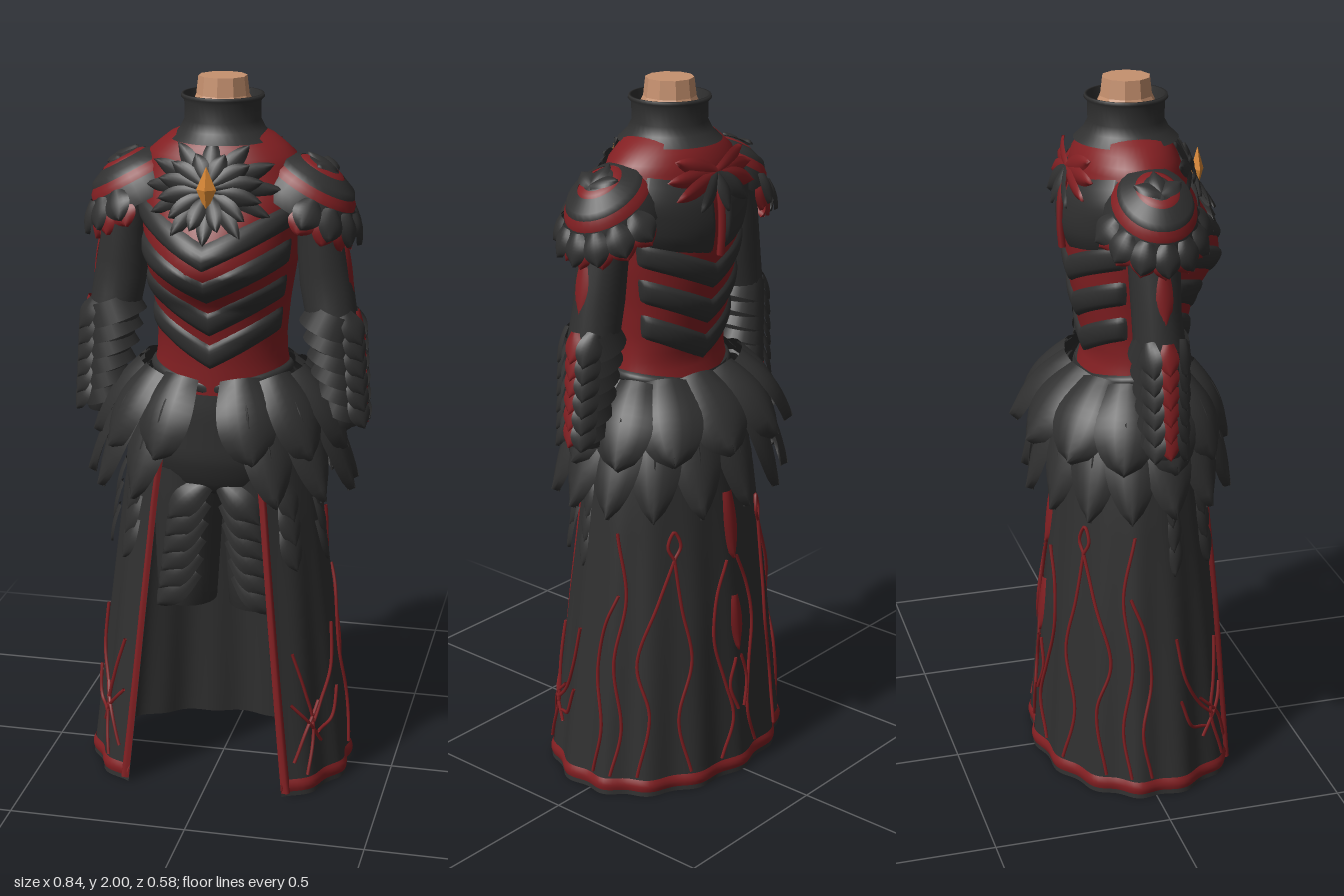
import * as THREE from 'three';
import { mergeVertices } from 'three/addons/utils/BufferGeometryUtils.js';

const V = (x, y, z) => new THREE.Vector3(x, y, z);
const D = Math.PI / 180;

export function createModel() {
  const root = new THREE.Group();
  const mat = (name, color) => {
    const m = new THREE.MeshStandardMaterial({ color, side: THREE.DoubleSide });
    m.name = name;
    return m;
  };
  const black = mat('black leather', 0x303030);
  const red = mat('dark red cloth', 0x821f22);
  const skin = mat('skin', 0xc6916f);
  skin.flatShading = true;
  const amber = mat('amber gem', 0xd48432);
  amber.flatShading = true;

  const add = (name, geo, m, parent = root) => {
    const mesh = new THREE.Mesh(geo, m);
    mesh.name = name;
    parent.add(mesh);
    return mesh;
  };

  // smooth sheet from a rule f(u, v) -> Vector3
  const sheet = (f, nu, nv) => {
    const pos = [], idx = [];
    for (let j = 0; j <= nv; j++) for (let i = 0; i <= nu; i++) pos.push(...f(i / nu, j / nv).toArray());
    for (let j = 0; j < nv; j++) for (let i = 0; i < nu; i++) {
      const a = j * (nu + 1) + i, b = a + nu + 1;
      idx.push(a, a + 1, b, a + 1, b + 1, b);
    }
    const g = new THREE.BufferGeometry();
    g.setAttribute('position', new THREE.Float32BufferAttribute(pos, 3));
    g.setIndex(idx);
    const merged = mergeVertices(g, 1e-5);
    merged.computeVertexNormals();
    return merged;
  };

  // body surfaces: rows of [y, half width, front z, back z], angle t = 0 at the front, 90 at +x
  const surface = (rows, ripple = () => 0) => (t, y, off = 0) => {
    let i = 0;
    while (i < rows.length - 2 && y < rows[i + 1][0]) i++;
    const [a, b] = [rows[i], rows[i + 1]];
    const k = THREE.MathUtils.clamp((a[0] - y) / (a[0] - b[0]), 0, 1);
    const [w, zf, zb] = [1, 2, 3].map(n => a[n] + (b[n] - a[n]) * k);
    const c = Math.cos(t), cz = 0.01, o = off + ripple(t, y);
    return V((w + o) * Math.sin(t), y, cz + (c > 0 ? zf - cz + o : cz - zb + o) * c);
  };
  const torso = surface([
    [1.87, 0.09, 0.09, -0.07], [1.845, 0.145, 0.12, -0.1], [1.8, 0.2, 0.145, -0.13], [1.7, 0.235, 0.18, -0.155],
    [1.62, 0.22, 0.235, -0.16], [1.56, 0.213, 0.265, -0.157], [1.51, 0.208, 0.272, -0.15], [1.46, 0.2, 0.245, -0.145],
    [1.4, 0.19, 0.2, -0.135], [1.3, 0.18, 0.178, -0.115], [1.24, 0.183, 0.172, -0.105], [1.15, 0.2, 0.17, -0.13]]);
  const pelvis = surface([
    [1.2, 0.19, 0.165, -0.125], [1.1, 0.225, 0.17, -0.15], [0.95, 0.235, 0.165, -0.16], [0.86, 0.19, 0.13, -0.13], [0.83, 0.1, 0.07, -0.07]]);
  const skirt = surface([[0.99, 0.255, 0.215, -0.175], [0.85, 0.28, 0.23, -0.19], [0.5, 0.32, 0.275, -0.225], [0, 0.375, 0.33, -0.26]],
    (t, y) => 0.008 * Math.cos(14 * t) * (1 - y));
  const opening = y => (37.5 - 8 * y) * D;

  const round = (s, y0, y1, n) => sheet((u, v) => s(u * 2 * Math.PI, y1 + (y0 - y1) * v), 48, n);
  add('bodice', round(torso, 1.15, 1.87, 30), red);
  add('pelvis', round(pelvis, 0.83, 1.2, 14), black);

  // pointed leaf plate from base to tip, facing out; a lower power gives a rounder leaf
  const leaf = (name, base, tip, width, out, m, bulge = 0.015, parent = root, power = 0.8) => {
    const dir = tip.clone().sub(base);
    const n = out.clone().addScaledVector(dir, -out.dot(dir) / dir.lengthSq()).normalize();
    const side = n.clone().cross(dir).normalize();
    return add(name, sheet((u, v) => {
      const q = v * 2 - 1;
      const half = width / 2 * Math.pow(Math.max(0, Math.sin(Math.PI * (0.16 + 0.84 * Math.pow(u, 1.25)))), power);
      return base.clone().addScaledVector(dir, u).addScaledVector(side, q * half)
        .addScaledVector(n, bulge * Math.sin(Math.PI * u) + width * 0.16 * (1 - q * q));
    }, 10, 6), m, parent);
  };
  const tube = (name, pts, r, m) =>
    add(name, new THREE.TubeGeometry(new THREE.CatmullRomCurve3(pts), pts.length * 3, r, 5), m);

  // padded bands that dip to a V on the chest and back
  const band = (name, s, t0, t1, lo, hi, rise, m, off = 0.014) =>
    add(name, sheet((u, v) => {
      const t = (t0 + (t1 - t0) * u) * D;
      const edge = Math.min(1, 5 * Math.sin(Math.PI * u) + 0.05);
      return s(t, lo + (hi - lo) * v + rise * Math.abs(Math.sin(t)), off * Math.pow(Math.sin(Math.PI * v), 0.5) * edge - 0.002);
    }, 40, 8), m);
  for (const lo of [1.52, 1.42, 1.32, 1.225]) band('chestBand', torso, -74, 74, lo, lo + 0.072, 0.1, black);
  for (const lo of [1.44, 1.335, 1.23]) band('backBand', torso, 108, 252, lo, lo + 0.075, 0.09, black);
  for (const s of [1, -1]) band('backPlate', torso, 180 - s * 4, 180 - s * 62, 1.54, 1.74, 0.04, black, 0.02);
  band('waistBand', torso, 0, 360, 1.15, 1.18, 0.04, black, 0.012);

  // neck and standing collar
  const lathe = (pts, n) => new THREE.LatheGeometry(pts.map(p => new THREE.Vector2(...p)), n);
  add('neck', lathe([[0.1, 1.89], [0.072, 1.95], [0.066, 2], [0, 2]], 10), skin).position.z = 0.012;
  add('collar', lathe([[0.142, 1.835], [0.116, 1.86], [0.103, 1.885], [0.104, 1.935], [0.113, 1.945], [0.111, 1.953], [0.104, 1.953], [0.094, 1.86]], 40), black)
    .position.z = 0.012;

  // chest flower with gem
  const onChest = (x, y, off) => {
    const t = Math.asin(THREE.MathUtils.clamp(x / torso(Math.PI / 2, y).x, -1, 1));
    return torso(t, y, off);
  };
  const flower = new THREE.Group();
  flower.name = 'chestFlower';
  root.add(flower);
  for (let ring = 0; ring < 2; ring++) for (let i = 0; i < 12; i++) {
    const a = (i + ring * 0.5) * 30 * D, r = ring ? 0.115 : 0.155;
    const tip = onChest(Math.sin(a) * r * 1.15, 1.72 + Math.cos(a) * r * 0.85, 0.012 + ring * 0.012);
    leaf('petal', V(Math.sin(a) * 0.02, 1.725 + Math.cos(a) * 0.02, 0.184 + ring * 0.008), tip, 0.05, V(0, 0, 1), black, 0.004, flower);
  }
  const gem = add('gem', new THREE.OctahedronGeometry(1), amber, flower);
  gem.scale.set(0.027, 0.062, 0.018);
  gem.position.set(0, 1.73, 0.214);

  // back fan of petals and spine
  for (let i = 0; i < 9; i++) {
    const a = (62 + i * 29.5) * D;
    const end = torso(Math.PI + Math.sin(a) * 0.75, 1.765 + 0.1 * Math.cos(a), 0.035);
    leaf('backPetal', V(0, 1.765, -0.15), end, 0.05, V(0, 0, -1), i < 3 || i > 5 ? red : black, 0.008);
  }
  tube('spine', [1.76, 1.68, 1.6, 1.54].map(y => torso(Math.PI, y, 0.012)), 0.011, red);

  // skirt, open at the front, with trims
  const skirtAt = (u, y, off) => {
    const o = opening(y);
    return skirt(o + u * (2 * Math.PI - 2 * o), y, off);
  };
  add('skirt', sheet((u, v) => skirtAt(u, v * 0.99, 0), 112, 14), black);
  add('hemTrim', sheet((u, v) => skirtAt(u, 0.014 + v * 0.036, 0.002 + 0.005 * Math.sin(Math.PI * v)), 112, 4), red);
  for (const s of [0, 1])
    add('frontTrim', sheet((u, v) => skirtAt(Math.abs(s - u * 0.016), 0.012 + v * 0.95, 0.001 + 0.012 * Math.sin(Math.PI * u)), 5, 24), red);

  // red vine lines on the skirt, [angle, height] pairs
  const vines = [
    [[46, 0.42], [52, 0.3], [56, 0.2], [50, 0.06]], [[44, 0.1], [52, 0.2], [62, 0.26]], [[44, 0.27], [53, 0.21], [62, 0.14]],
    [[78, 0.47], [73, 0.34], [62, 0.24], [55, 0.2]], [[77, 0.28], [70, 0.19], [60, 0.17]],
    [[95, 0.06], [100, 0.2], [94, 0.36], [98, 0.5], [107, 0.6]], [[104, 0.78], [112, 0.6], [106, 0.4], [112, 0.2], [107, 0.06]],
    [[122, 0.06], [128, 0.25], [120, 0.4], [132, 0.58], [142, 0.7]], [[150, 0.06], [144, 0.22], [151, 0.4], [146, 0.55], [142, 0.7]],
    [[142, 0.7], [138, 0.74], [142, 0.78], [146, 0.74], [142, 0.7]],
    [[176, 0.66], [168, 0.56], [165, 0.44], [171, 0.3], [175, 0.18], [168, 0.06]], [[178, 0.36], [174, 0.28], [178, 0.2]]];
  for (const s of [1, -1]) for (const v of vines) {
    const path = new THREE.CatmullRomCurve3(v.map(([t, y]) => V(t * D * 0.3, y, 0))).getPoints(20);
    tube('vine', path.map(p => skirt(s * p.x / 0.3, p.y, 0.006)), 0.005, red);
  }
  leaf('backTassel', skirt(Math.PI, 0.86, 0.006), skirt(Math.PI, 0.66, 0.008), 0.055, V(0, 0, -1), red, 0.003, root, 0.5);
  leaf('backDiamond', skirt(Math.PI, 0.55, 0.004), skirt(Math.PI, 0.38, 0.004), 0.05, V(0, 0, -1), red, 0.002);

  // hip feathers in two layers
  const ringPoint = (t, w, zf, zb, y) => V(w * Math.sin(t), y, (Math.cos(t) > 0 ? zf : -zb) * Math.cos(t));
  const feather = (t, lower) => {
    const base = ringPoint(t, 0.215, 0.175, -0.13, lower ? 1.16 : 1.2);
    const back = Math.max(0, -Math.cos(t));
    const tip = lower ? ringPoint(t, 0.37, 0.285, -0.26, 0.86 - 0.03 * back) : ringPoint(t, 0.35, 0.27, -0.29, 0.98 + 0.03 * back);
    const out = V(Math.sin(t), 0.3, Math.cos(t));
    const w = lower ? 0.145 : 0.165 + 0.025 * back;
    leaf(lower ? 'lowerHipFeather' : 'upperHipFeather', base, tip, w, out, black, 0.022, root, lower ? 0.75 : 0.55);
    const mid = base.clone().lerp(tip, 0.5).addScaledVector(out, 0.022 + w * 0.14);
    tube('featherRib', [base.clone().addScaledVector(out, w * 0.14), mid, tip], 0.0035, black);
  };
  for (const s of [1, -1]) for (let i = 0; i < 6; i++) {
    feather(s * (22 + i * 28.6) * D, false);
    feather(s * (32 + i * 24.6) * D, true);
  }
  feather(Math.PI, true);

  // loft through horizontal rings [x, y, z, rx, rz]
  const loft = (rows, s) => sheet((u, v) => {
    const f = v * (rows.length - 1), i = Math.min(Math.floor(f), rows.length - 2), a = rows[i];
    const [x, y, z, rx, rz] = a.map((q, n) => q + (rows[i + 1][n] - q) * (f - i));
    return V(s * (x + rx * Math.sin(u * 2 * Math.PI)), y, z + rz * Math.cos(u * 2 * Math.PI));
  }, 24, (rows.length - 1) * 3);

  for (const s of [1, -1]) {
    // arms
    add('arm', loft([[0.235, 1.76, 0.01, 0.03, 0.04], [0.25, 1.71, 0.01, 0.075, 0.07], [0.272, 1.58, 0.01, 0.068, 0.07],
      [0.29, 1.44, 0.012, 0.074, 0.066], [0.315, 1.3, 0.02, 0.07, 0.072], [0.338, 1.15, 0.02, 0.052, 0.058],
      [0.345, 1.05, 0.02, 0.042, 0.048], [0.345, 1.045, 0.02, 0.001, 0.001]], s), black);
    leaf('armInset', V(s * 0.334, 1.58, 0.015), V(s * 0.36, 1.4, 0.015), 0.05, V(s, 0, 0), red, 0.004);

    // overlapping forearm plates with red points
    for (let i = 0; i < 6; i++) {
      const y = 1.345 - i * 0.047, x = 0.308 + i * 0.007, r = 0.085 - i * 0.0045;
      const plate = add('forearmPlate', new THREE.CylinderGeometry(r * 0.84, r, 0.065, 24, 1, true), black);
      plate.position.set(s * x, y, 0.02);
      plate.rotation.z = -s * 0.35;
      leaf('forearmSpike', V(s * (x + r * 0.78), y + 0.03, 0.02), V(s * (x + r), y - 0.055, 0.02), 0.055, V(s, 0, 0), red, 0.002);
      for (const k of [1, -1])
        leaf('forearmScale', V(s * (x + r * 0.5), y + 0.03, 0.02 + k * r * 0.55), V(s * (x + r), y - 0.06, 0.02 + k * 0.038), 0.07, V(s, 0, k), black, 0.006);
    }

    // shoulder guard of nested rings
    const guard = new THREE.Group();
    guard.name = 'shoulderGuard';
    guard.position.set(s * 0.22, 1.662, 0.018);
    guard.rotation.z = -s * 0.5;
    guard.scale.z = 0.85;
    root.add(guard);
    const rings = [[[0.152, -0.005], [0.148, 0.03], [0.128, 0.062]], [[0.134, 0.05], [0.128, 0.069], [0.11, 0.088]],
      [[0.118, 0.082], [0.108, 0.098], [0.068, 0.116]], [[0.07, 0.112], [0.06, 0.12], [0.045, 0.124]], [[0.046, 0.122], [0.036, 0.128], [0, 0.131]]];
    rings.forEach((r, i) => add('guardRing', lathe(r, 32), i % 2 ? red : black, guard));
    for (let i = 0; i < 7; i++) {
      const a = (s > 0 ? 0 : 180) * D + (-78 + i * 26) * D, p = (r, h) => V(r * Math.cos(a), h, r * Math.sin(a));
      leaf('guardFeather', p(0.13, 0.05), p(0.185, -0.022), 0.085, p(1, 1), black, 0.008, guard);
      leaf('guardLining', p(0.136, 0.02), p(0.165, -0.045), 0.08, p(1, 0.3), red, 0.004, guard);
    }
    // small crest leaves lying over the inner shoulder
    for (const k of [-1, 0, 1]) {
      const c = Math.cos(k * 1.1), z = Math.sin(k * 1.1);
      leaf('guardCrest', V(s * 0.03, 0.126, 0), V(s * (0.03 - 0.085 * c), 0.125, 0.085 * z), 0.05, V(0, 1, 0), black, 0.006, guard);
    }

    // thighs and slanted thigh plates
    add('thigh', loft([[0.1, 0.98, 0, 0.1, 0.13], [0.1, 0.8, 0.01, 0.099, 0.115], [0.105, 0.49, 0.01, 0.085, 0.085],
      [0.105, 0.488, 0.01, 0.001, 0.001]], s), black);
    for (let i = 0; i < 6; i++) {
      const y = 0.88 - i * 0.055, x = 0.018 + i * 0.008;
      leaf('thighPlate', V(s * x, y, 0.115 - i * 0.004), V(s * (x + 0.115), y - 0.115, 0.12 - i * 0.004), 0.085, V(s * 0.15, 0.2, 1), black, 0.02);
    }

    // small hanging feathers on the skirt sides
    for (let i = 0; i < 3; i++) for (const [t, w] of [[46, 0.07], [74, 0.045]])
      leaf('sideFeather', skirt(s * t * D, 0.92 - i * 0.07, 0.004), skirt(s * (t + 4) * D, 0.8 - i * 0.07, 0.014), w,
        V(s * Math.sin(t * D), 0.1, Math.cos(t * D)), black, 0.006);
  }
  return root;
}
